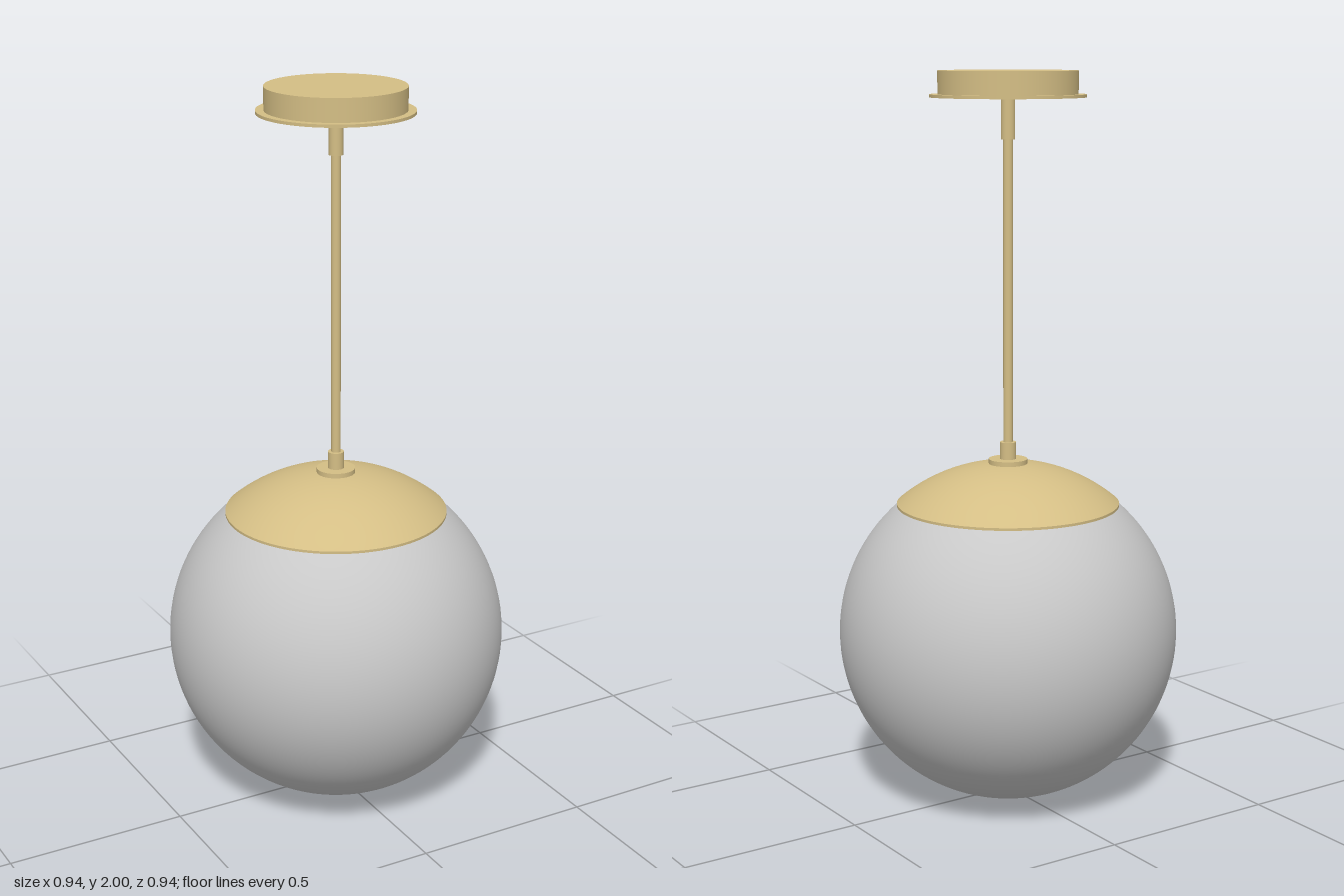
import * as THREE from 'three';

export function createModel() {
  const group = new THREE.Group();
  const brass = new THREE.MeshStandardMaterial({ color: 0xd4be85 });
  brass.name = 'brass';
  const glass = new THREE.MeshStandardMaterial({ color: 0xc8c8c8 });
  glass.name = 'frostedGlass';

  const add = (name, geometry, material, y = 0) => {
    const mesh = new THREE.Mesh(geometry, material);
    mesh.name = name;
    mesh.position.y = y;
    group.add(mesh);
  };
  // Upright round part between two heights
  const disc = (name, radius, y0, y1, sides = 64) =>
    add(name, new THREE.CylinderGeometry(radius, radius, y1 - y0, sides), brass, (y0 + y1) / 2);

  // Globe shade
  const R = 0.468;
  add('globe', new THREE.SphereGeometry(R, 96, 64), glass, R);

  // Domed cap hugging the globe, with a thin rim turned in underneath
  const capR = 0.475, rim = 0.306;
  const angle = Math.asin(rim / capR);
  add('cap', new THREE.SphereGeometry(capR, 96, 20, 0, Math.PI * 2, 0, angle), brass, R);
  const rimY = R + capR * Math.cos(angle);
  add('capEdge', new THREE.CylinderGeometry(rim, rim, 0.007, 96, 1, true), brass, rimY - 0.0035);
  const lip = new THREE.RingGeometry(0.29, rim, 96);
  lip.rotateX(Math.PI / 2);
  add('capLip', lip, brass, rimY - 0.007);

  // Stem and its fittings
  disc('stemFlange', 0.053, 0.935, 0.953);
  disc('lowerCollar', 0.022, 0.953, 1.0, 32);
  disc('stem', 0.013, 0.99, 1.83, 32);
  disc('upperCollar', 0.019, 1.82, 1.932, 32);

  // Ceiling mount
  disc('ceilingPlate', 0.209, 1.93, 1.938, 96);
  disc('canopy', 0.187, 1.938, 2.0, 96);

  return group;
}
